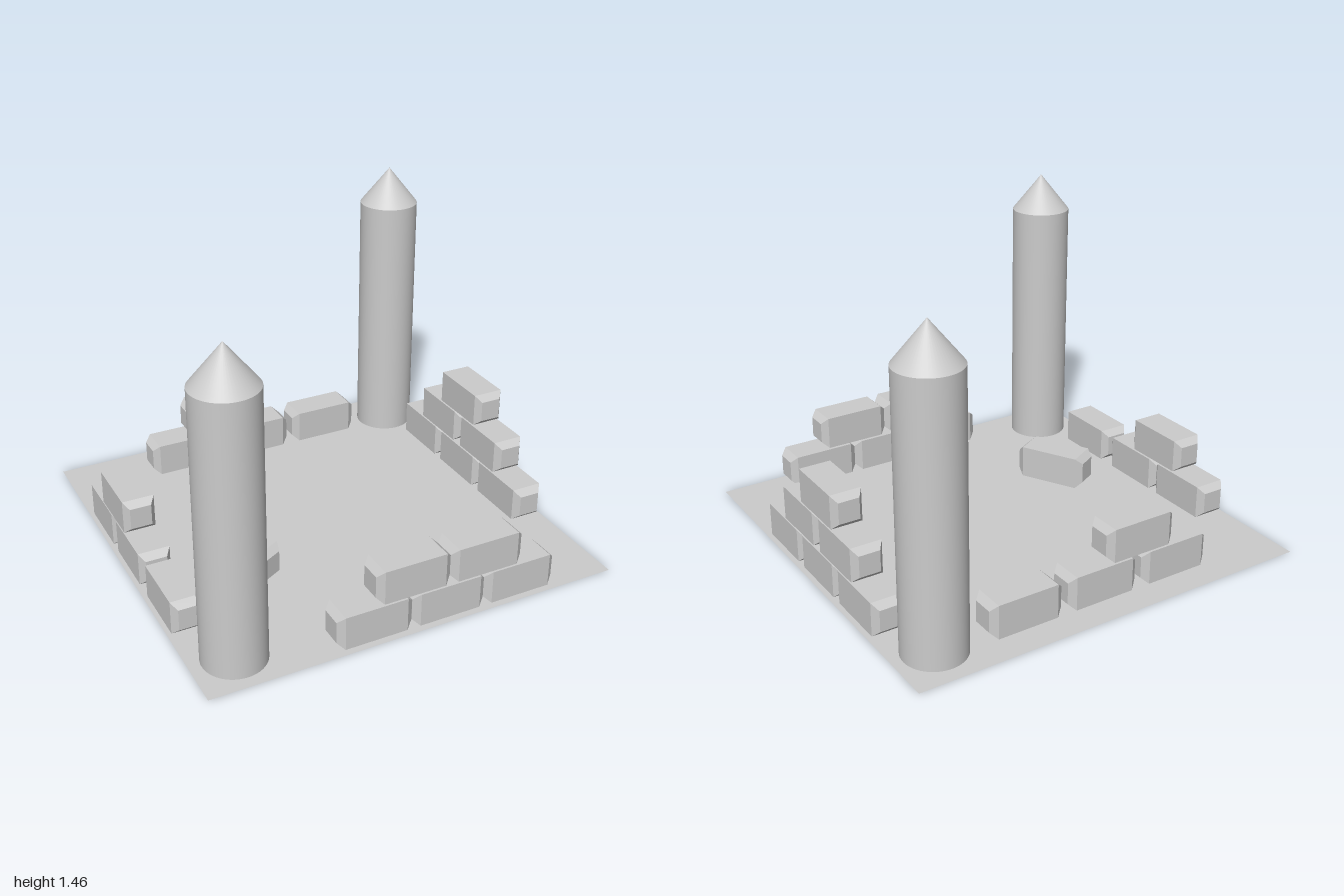
import * as THREE from 'three';

const LENGTH = 0.365, HEIGHT = 0.163, DEPTH = 0.152, PITCH = 0.172;

// Block along x with all four edges of each end bevelled
function blockGeometry() {
  const box = new THREE.BoxGeometry(LENGTH, HEIGHT, DEPTH, 3, 1, 1);
  const p = box.attributes.position;
  for (let i = 0; i < p.count; i++) {
    const x = p.getX(i), s = Math.sign(x);
    if (Math.abs(x) > LENGTH / 3) {
      p.setY(i, p.getY(i) - Math.sign(p.getY(i)) * 0.03);
      p.setZ(i, p.getZ(i) - Math.sign(p.getZ(i)) * 0.025);
    } else {
      p.setX(i, s * (LENGTH / 2 - 0.032));
    }
  }
  const flat = box.toNonIndexed();
  flat.computeVertexNormals();
  return flat;
}

export function createModel() {
  const model = new THREE.Group();
  const stone = new THREE.MeshStandardMaterial({ color: 0xcccccc, side: THREE.DoubleSide });
  const block = blockGeometry();

  const add = (parent, name, geometry, x, y, z) => {
    const mesh = new THREE.Mesh(geometry, stone);
    mesh.name = name;
    mesh.position.set(x, y, z);
    parent.add(mesh);
    return mesh;
  };

  // Ground sheet
  add(model, 'ground', new THREE.PlaneGeometry(2, 2).rotateX(-Math.PI / 2), 0, 0, 0);

  // Ruined walls: each course lists block centres along the wall
  const walls = [
    { name: 'frontWall', axis: 'x', at: 0.905, courses: [[-0.217, 0.149, 0.514], [-0.032, 0.333]] },
    { name: 'backWall', axis: 'x', at: -0.8, courses: [[-0.402, -0.003, 0.397], [-0.202]] },
    { name: 'rightWall', axis: 'z', at: -0.907, courses: [[-0.37, -0.003, 0.397], [-0.183]] },
    { name: 'leftWall', axis: 'z', at: 0.906, courses: [[-0.42, -0.06, 0.302], [-0.248, 0.12], [-0.073]] },
  ];
  for (const { name, axis, at, courses } of walls) {
    const wall = new THREE.Group();
    wall.name = name;
    courses.forEach((row, level) => row.forEach((c) => {
      const y = 0.094 + level * PITCH;
      if (axis === 'x') add(wall, 'block', block, c, y, at);
      else add(wall, 'block', block, at, y, c).rotation.y = Math.PI / 2;
    }));
    model.add(wall);
  }

  // Fallen block lying in the yard
  add(model, 'looseBlock', block, -0.515, 0.088, 0.225).rotation.y = -1.08;

  // Round towers with pointed roofs
  const shaft = new THREE.CylinderGeometry(0.147, 0.147, 1.275, 48);
  const roof = new THREE.ConeGeometry(0.147, 0.183, 48, 1, true);
  for (const [name, x, z] of [['frontTower', -0.798, 0.796], ['backTower', 0.804, -0.784]]) {
    const tower = new THREE.Group();
    tower.name = name;
    tower.position.set(x, 0, z);
    add(tower, 'shaft', shaft, 0, 1.275 / 2, 0);
    add(tower, 'roof', roof, 0, 1.275 + 0.0915, 0);
    model.add(tower);
  }
  return model;
}
